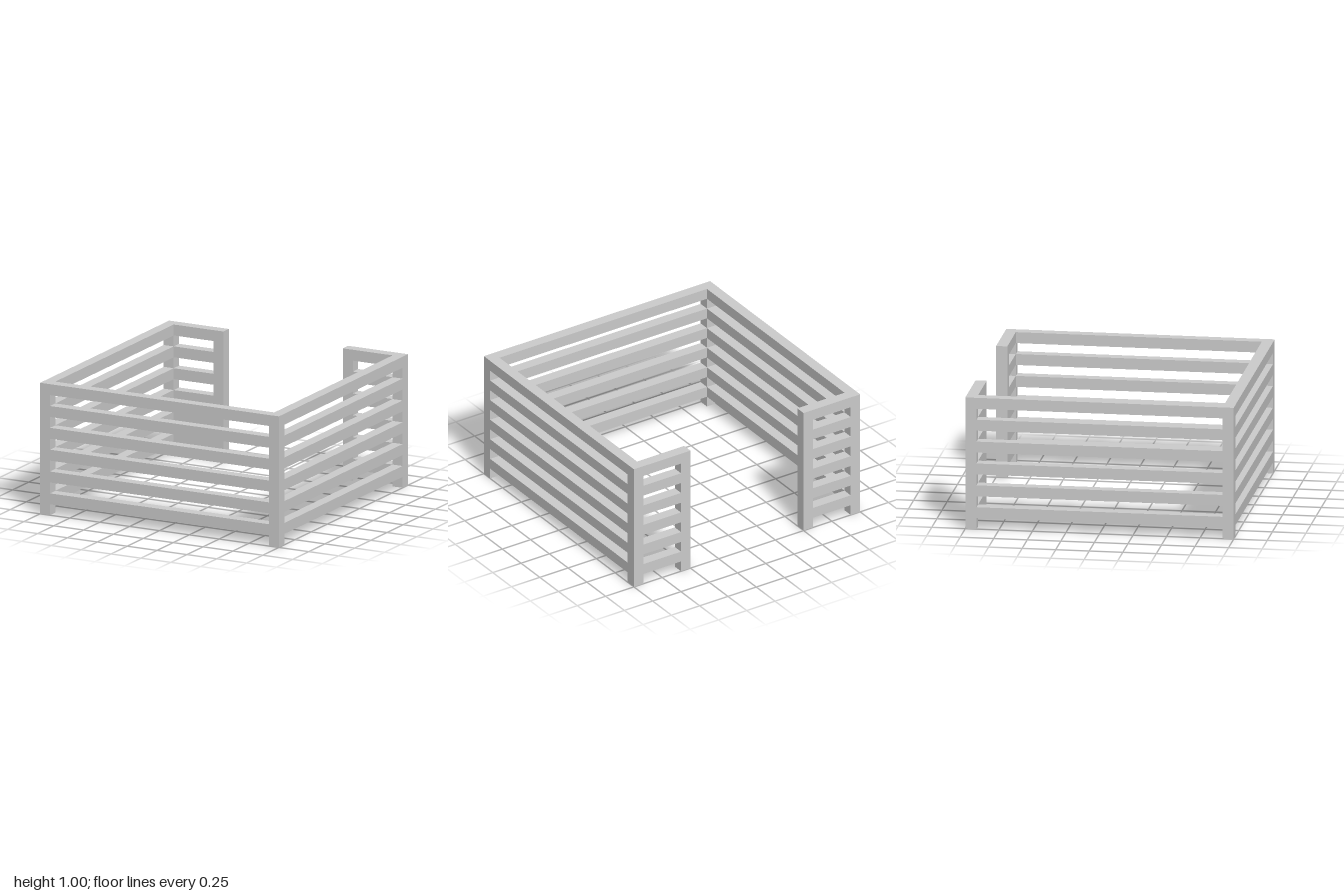
import * as THREE from 'three';

const T = 1 / 12;        // square section of every post and rail
const EDGE = 1 - T / 2;  // centre line of the outer walls
const GATE = 0.5;        // half width of the opening at the back
const LEVELS = 6;        // rails per wall

export function createModel() {
  const group = new THREE.Group();
  const material = new THREE.MeshStandardMaterial({ color: 0xcccccc, flatShading: true });

  function addBox(name, w, h, d, x, y, z) {
    const mesh = new THREE.Mesh(new THREE.BoxGeometry(w, h, d), material);
    mesh.name = name;
    mesh.position.set(x, y, z);
    group.add(mesh);
  }

  // Posts: four corners and one on each side of the opening
  for (const [side, s] of [['left', 1], ['right', -1]]) {
    addBox(side + 'FrontPost', T, 1, T, s * EDGE, 0.5, EDGE);
    addBox(side + 'BackPost', T, 1, T, s * EDGE, 0.5, -EDGE);
    addBox(side + 'GatePost', T, 1, T, s * (GATE + T / 2), 0.5, -EDGE);
  }

  // Rails: fitted between the posts, evenly stacked up to the top
  const span = 2 - 2 * T;
  const shortSpan = 1 - GATE - 2 * T;
  for (let i = 1; i <= LEVELS; i++) {
    const y = i / LEVELS - T / 2;
    addBox('frontRail' + i, span, T, T, 0, y, EDGE);
    for (const [side, s] of [['left', 1], ['right', -1]]) {
      addBox(side + 'Rail' + i, T, T, span, s * EDGE, y, 0);
      addBox(side + 'BackRail' + i, shortSpan, T, T, s * (1 + GATE) / 2, y, -EDGE);
    }
  }

  return group;
}
